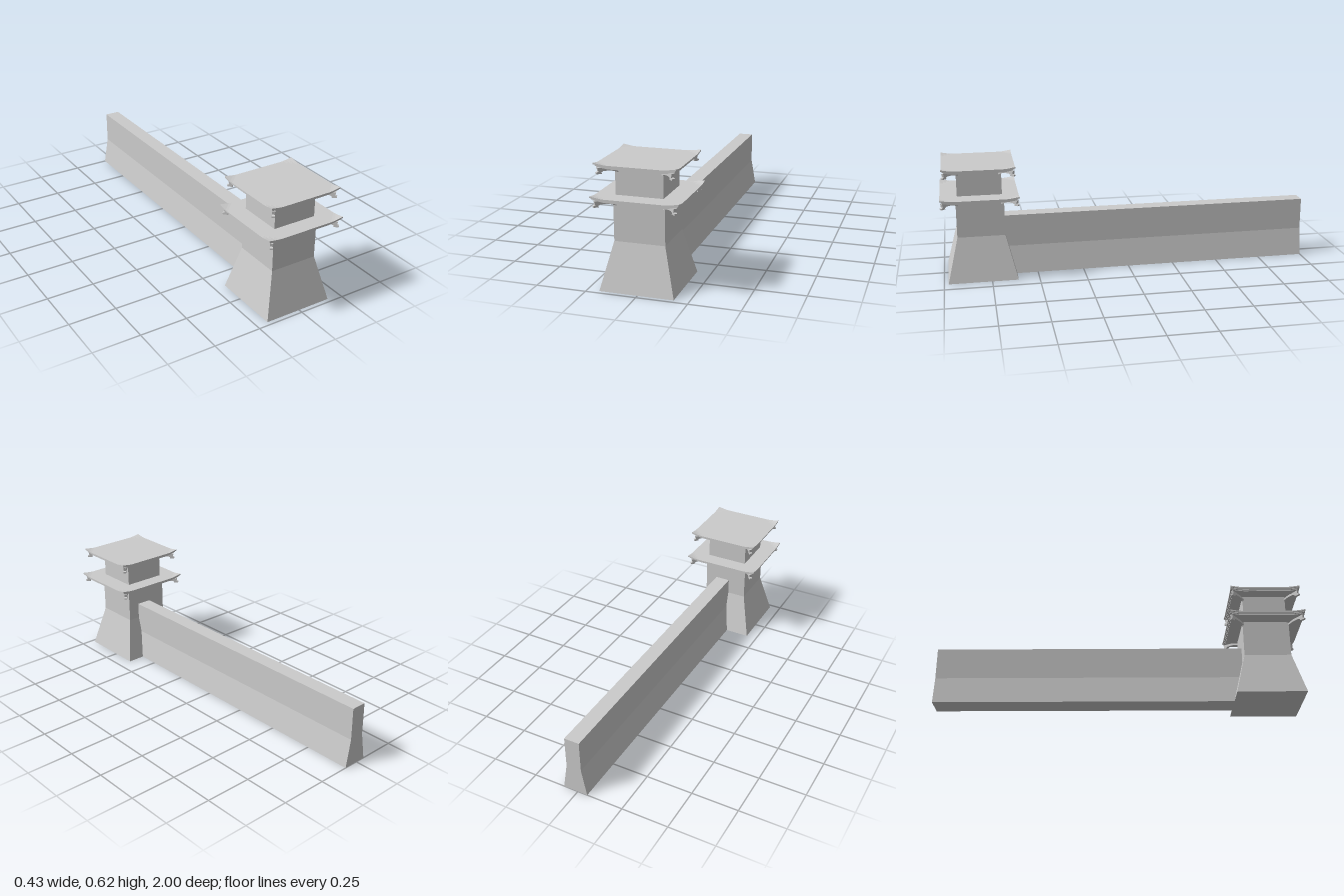
import * as THREE from 'three';

const material = new THREE.MeshStandardMaterial({ color: 0xcccccc, flatShading: true, side: THREE.DoubleSide });

function addMesh(parent, name, geometry) {
  const mesh = new THREE.Mesh(geometry, material);
  mesh.name = name;
  parent.add(mesh);
  return mesh;
}

// Square block from y0 to y1 whose half width goes from bottom to top
function taperedBlock(bottom, top, y0, y1) {
  const g = new THREE.CylinderGeometry(top * Math.SQRT2, bottom * Math.SQRT2, y1 - y0, 4);
  return g.rotateY(Math.PI / 4).translate(0, (y0 + y1) / 2, 0);
}

// Thin slab whose four corners are folded upward
function roofTier(halfX, halfZ, y0, y1) {
  const g = new THREE.BoxGeometry(2, y1 - y0, 2, 24, 1, 24);
  const p = g.attributes.position;
  for (let i = 0; i < p.count; i++) {
    const u = p.getX(i), v = p.getZ(i);
    const fold = Math.max(0, (Math.abs(u) + Math.abs(v) - 1.7) / 0.3);
    p.setXYZ(i, u * halfX, p.getY(i) + (y0 + y1) / 2 + 0.009 * Math.pow(fold, 1.15), v * halfZ);
  }
  g.computeVertexNormals();
  return g;
}

// Curved corner bracket with a hooked tip, drawn outward along the diagonal
function bracketGeometry(shift) {
  const at = (x, y) => new THREE.Vector2((x + shift) * Math.SQRT2, y);
  const shape = new THREE.Shape();
  shape.setFromPoints([
    ...new THREE.SplineCurve([at(0.112, -0.033), at(0.127, -0.024), at(0.147, -0.015), at(0.173, -0.012)]).getPoints(8),
    at(0.181, -0.017), at(0.179, -0.024), at(0.197, -0.024), at(0.198, -0.016),
    at(0.191, -0.012), at(0.194, 0.006), at(0.18, 0.003),
    ...new THREE.SplineCurve([at(0.16, 0), at(0.145, -0.004), at(0.127, -0.014), at(0.112, -0.025)]).getPoints(8),
  ]);
  const width = 0.014;
  return new THREE.ExtrudeGeometry(shape, { depth: width, bevelEnabled: false }).translate(0, 0, -width / 2);
}

// Three stepped tiers with a bracket under each corner
function createRoof(name, halfX, halfZ, y, shift) {
  const roof = new THREE.Group();
  roof.name = name;
  roof.position.set(0.004, y, 0.002);
  const levels = [0, 0.006, 0.013, 0.02];
  for (let i = 0; i < 3; i++) {
    const inset = (2 - i) * 0.006;
    addMesh(roof, 'roofTier', roofTier(halfX - inset, halfZ - inset, levels[i], levels[i + 1]));
  }
  const bracket = bracketGeometry(shift);
  for (let i = 0; i < 4; i++) {
    addMesh(roof, 'cornerBracket', bracket).rotation.y = Math.PI / 4 + i * Math.PI / 2;
  }
  return roof;
}

export function createModel() {
  const model = new THREE.Group();
  model.name = 'watchtowerWithWall';

  // Tower: flared base, straight body, narrower upper storey
  const tower = new THREE.Group();
  tower.name = 'tower';
  tower.position.set(-0.006, 0, 0.795);
  addMesh(tower, 'towerBase', taperedBlock(0.183, 0.125, 0, 0.235));
  addMesh(tower, 'towerBody', taperedBlock(0.125, 0.125, 0.235, 0.428));
  addMesh(tower, 'upperStorey', taperedBlock(0.116, 0.116, 0.428, 0.595));
  tower.add(createRoof('lowerRoof', 0.213, 0.203, 0.437, 0));
  tower.add(createRoof('upperRoof', 0.197, 0.188, 0.592, -0.014));
  model.add(tower);

  // Wall: upright upper half on a flared foot
  const half = [[0.067, 0], [0.041, 0.15], [0.041, 0.322]];
  const outline = [...half, ...half.map(([x, y]) => [-x, y]).reverse()];
  const section = new THREE.Shape(outline.map(([x, y]) => new THREE.Vector2(x, y)));
  const wall = addMesh(model, 'wall', new THREE.ExtrudeGeometry(section, { depth: 1.7, bevelEnabled: false }));
  wall.position.set(0.013, 0, -1);

  return model;
}
